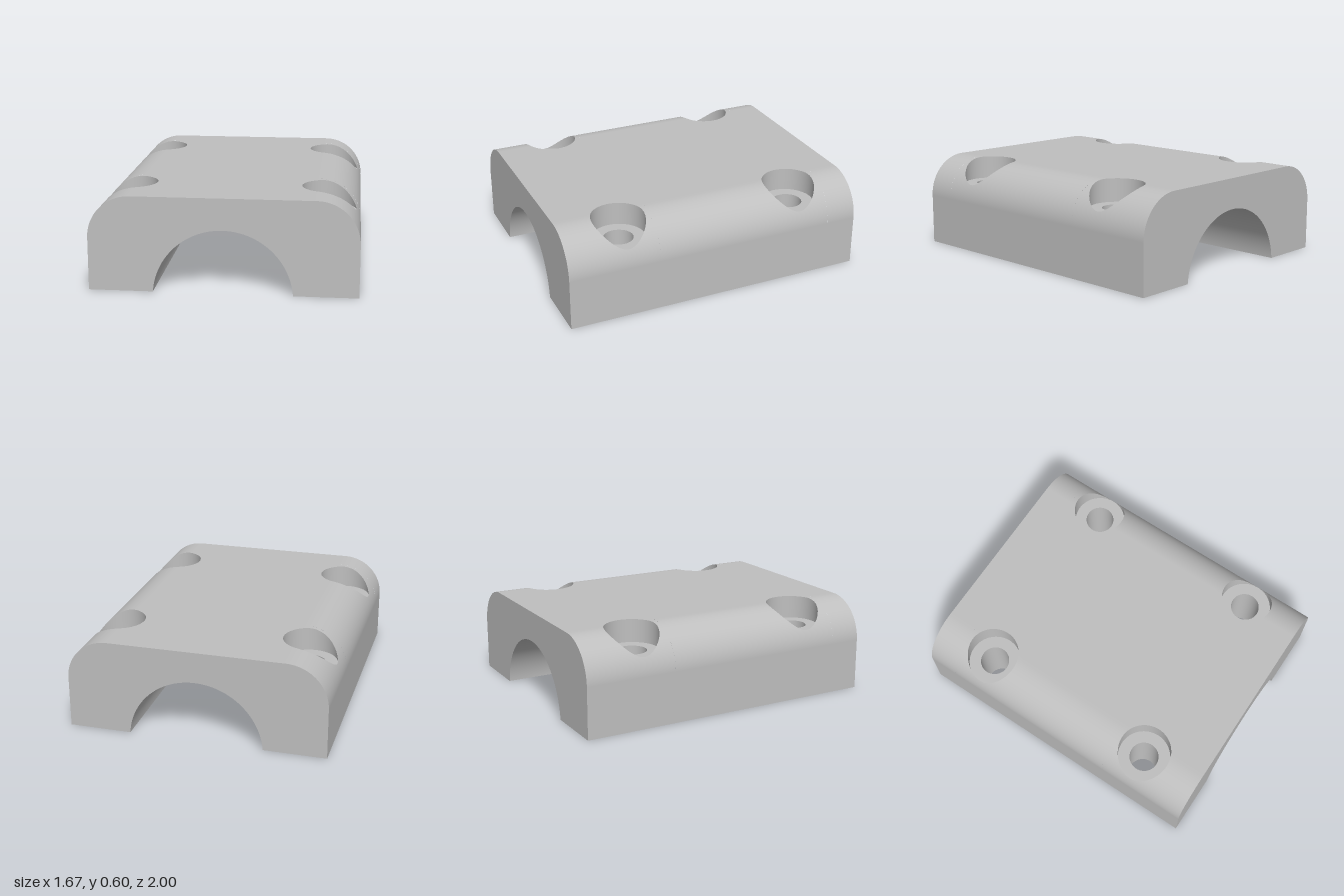
import * as THREE from 'three';

const W = 0.833, H = 0.6, L = 1;              // half width, height, half length
const R = 0.267, FX = W - R, FY = H - R;      // rounded shoulder radius and centre
const AR = 0.433, AY = -0.033;                // arch radius and centre height
const A0 = Math.asin(-AY / AR), AX = AR * Math.cos(A0);
const HX = 0.633, HZ = 0.6, BORE = 0.172, DRILL = 0.095, FLOOR = 0.45;
const U0 = HX - 0.2, U1 = FX + R * Math.PI / 2, PZ = 0.2; // patch around each bore

// Top outline measured along its length u, as [x, y, nx, ny]
function outline(u) {
  if (u <= FX) return [u, H, 0, 1];
  const a = (u - FX) / R, s = Math.sin(a), c = Math.cos(a);
  return [FX + R * s, FY + R * c, s, c];
}
const uAt = (x) => (x <= FX ? x : FX + R * Math.asin((x - FX) / R));
const lerp = (a, b, t) => a + (b - a) * t;

// Grid surface; f(s, t) gives position and normal, and each cell faces its normal
function sheet(f, ns, nt) {
  const pos = [], nor = [], idx = [];
  for (let j = 0; j <= nt; j++) for (let i = 0; i <= ns; i++) {
    const p = f(i / ns, j / nt);
    pos.push(p[0], p[1], p[2]);
    nor.push(p[3], p[4], p[5]);
  }
  const v = (k, arr) => new THREE.Vector3().fromArray(arr, k * 3);
  for (let j = 0; j < nt; j++) for (let i = 0; i < ns; i++) {
    const a = j * (ns + 1) + i, b = a + 1, d = a + ns + 1, c = d + 1;
    const face = v(c, pos).sub(v(a, pos)).cross(v(d, pos).sub(v(b, pos)));
    if (face.dot(v(a, nor)) > 0) idx.push(a, b, c, a, c, d);
    else idx.push(a, c, b, a, d, c);
  }
  const g = new THREE.BufferGeometry();
  g.setAttribute('position', new THREE.Float32BufferAttribute(pos, 3));
  g.setAttribute('normal', new THREE.Float32BufferAttribute(nor, 3));
  g.setIndex(idx);
  return g;
}

export function createModel() {
  const group = new THREE.Group();
  const grey = new THREE.MeshStandardMaterial({ color: 0xbfbfbf });
  grey.name = 'grey';
  const add = (name, geometry) => {
    const m = new THREE.Mesh(geometry, grey);
    m.name = name;
    group.add(m);
    return m;
  };

  // End faces with the arch cut out
  const end = new THREE.Shape();
  end.moveTo(AX, 0);
  end.lineTo(W, 0);
  end.lineTo(W, FY);
  end.absarc(FX, FY, R, 0, Math.PI / 2, false);
  end.lineTo(-FX, H);
  end.absarc(-FX, FY, R, Math.PI / 2, Math.PI, false);
  end.lineTo(-W, 0);
  end.lineTo(-AX, 0);
  end.absarc(0, AY, AR, Math.PI - A0, A0, true);
  const endGeo = new THREE.ShapeGeometry(end, 48);
  add('frontFace', endGeo).position.z = L;
  const back = add('backFace', endGeo);
  back.position.z = -L;
  back.rotation.y = Math.PI;

  // Underside arch and flat middle of the top
  add('arch', sheet((s, t) => {
    const a = lerp(A0, Math.PI - A0, s), c = Math.cos(a), n = Math.sin(a);
    return [AR * c, AY + AR * n, lerp(-L, L, t), -c, -n, 0];
  }, 64, 1));
  add('topPlate', sheet((s, t) => [lerp(-U0, U0, s), H, lerp(-L, L, t), 0, 1, 0], 1, 1));

  for (const sx of [1, -1]) {
    const side = sx > 0 ? 'left' : 'right';
    const skin = (u, z) => {
      const [x, y, nx, ny] = outline(u);
      return [sx * x, y, z, sx * nx, ny, 0];
    };
    add(side + 'Wall', sheet((s, t) => [sx * W, FY * s, lerp(-L, L, t), sx, 0, 0], 1, 1));

    // Rounded shoulder between the bores
    for (const [z0, z1] of [[-L, -HZ - PZ], [-HZ + PZ, HZ - PZ], [HZ + PZ, L]]) {
      add(side + 'Shoulder', sheet((s, t) => skin(lerp(U0, U1, s), lerp(z0, z1, t)), 40, 1));
    }

    // Flat foot with two drilled holes
    const foot = new THREE.Shape();
    const [xa, xb] = sx > 0 ? [AX, W] : [-W, -AX];
    foot.moveTo(xa, -L);
    foot.lineTo(xb, -L);
    foot.lineTo(xb, L);
    foot.lineTo(xa, L);
    for (const sz of [1, -1]) {
      const hole = new THREE.Path();
      hole.absarc(sx * HX, sz * HZ, DRILL, 0, Math.PI * 2, true);
      foot.holes.push(hole);
    }
    add(side + 'Foot', new THREE.ShapeGeometry(foot, 32).rotateX(Math.PI / 2));

    // Counterbored screw holes
    for (const sz of [1, -1]) {
      const cz = sz * HZ;
      const circle = (s) => [Math.cos(s * Math.PI * 2), Math.sin(s * Math.PI * 2)];
      add('shoulderAroundBore', sheet((s, t) => {
        const [c, n] = circle(s), m = Math.max(Math.abs(c), Math.abs(n));
        const uOut = lerp(U0, U1, (c / m + 1) / 2);
        return skin(lerp(uAt(HX + BORE * c), uOut, t), cz + lerp(BORE * n, PZ * n / m, t));
      }, 64, 10));
      const wall = (r, bottom, top) => sheet((s, t) => {
        const [c, n] = circle(s), x = HX + r * c;
        return [sx * x, lerp(bottom, top(x), t), cz + r * n, -sx * c, 0, -n];
      }, 64, 1);
      add('counterbore', wall(BORE, FLOOR, (x) => outline(uAt(x))[1]));
      add('drillHole', wall(DRILL, 0, () => FLOOR));
      const seat = add('screwSeat', new THREE.RingGeometry(DRILL, BORE, 64).rotateX(-Math.PI / 2));
      seat.position.set(sx * HX, FLOOR, cz);
    }
  }
  return group;
}
